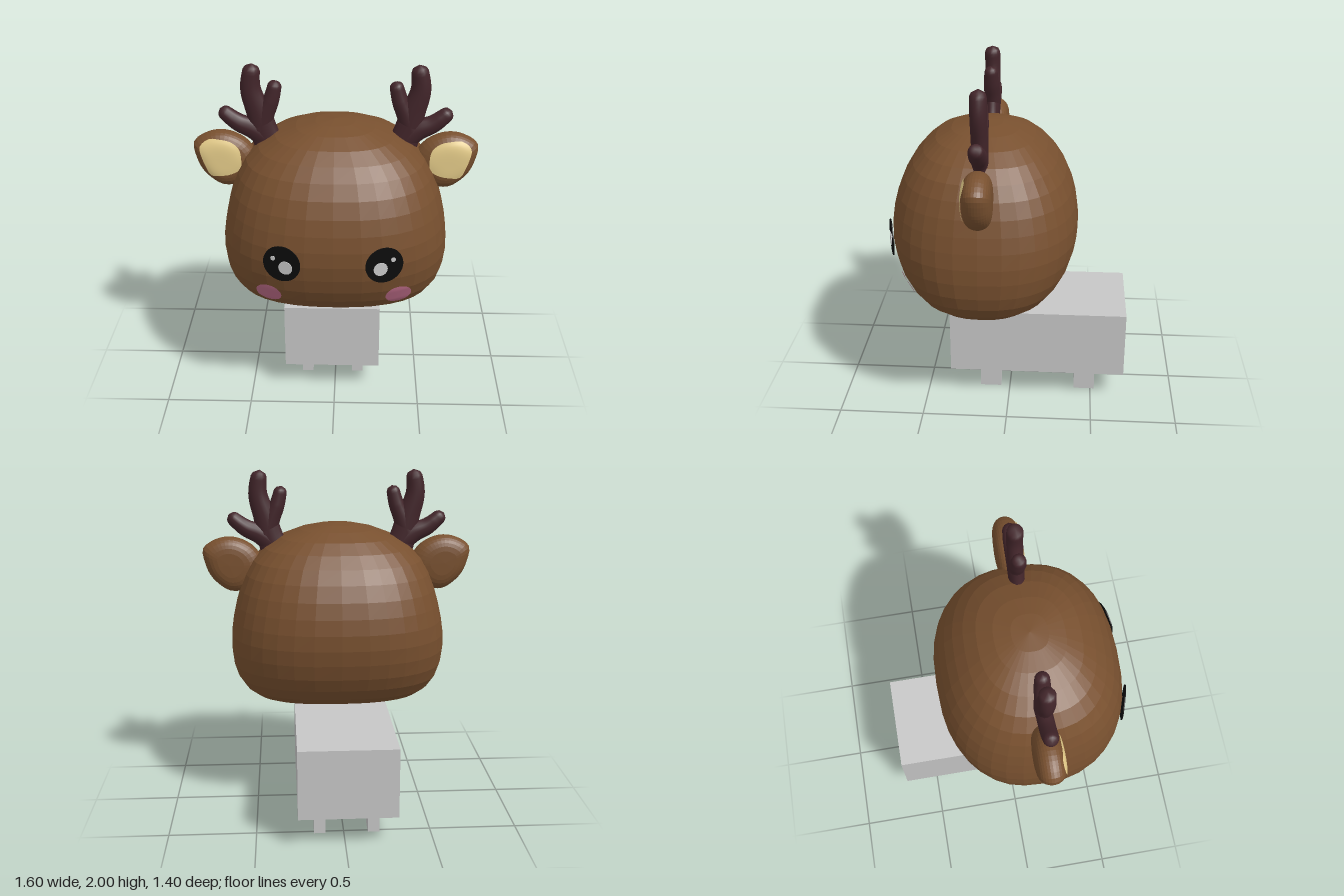
import * as THREE from 'three';
import { mergeVertices } from 'three/addons/utils/BufferGeometryUtils.js';

const mat = (name, color) => {
  const m = new THREE.MeshStandardMaterial({ color });
  m.name = name;
  return m;
};

// Surface from fn(u, v) -> [x, y, z]; s = -1 mirrors it across x and keeps it facing outwards
function grid(fn, nu, nv, s = 1) {
  const pos = [], idx = [];
  for (let i = 0; i <= nu; i++)
    for (let j = 0; j <= nv; j++) {
      const [x, y, z] = fn(i / nu, j / nv);
      pos.push(s * x, y, z);
    }
  for (let i = 0; i < nu; i++)
    for (let j = 0; j < nv; j++) {
      const a = i * (nv + 1) + j, b = a + nv + 1, c = a + 1, d = b + 1;
      if (s > 0) idx.push(a, b, c, c, b, d);
      else idx.push(a, c, b, c, d, b);
    }
  const g = new THREE.BufferGeometry();
  g.setAttribute('position', new THREE.Float32BufferAttribute(pos, 3));
  g.setIndex(idx);
  return g;
}
const faceted = (g) => {
  const f = g.toNonIndexed();
  f.computeVertexNormals();
  return f;
};
const smooth = (g) => {
  const f = mergeVertices(g, 1e-5);
  f.computeVertexNormals();
  return f;
};

// Head cross-sections: height, half width, half depth
const HEAD_Z = 0.147, POWER = 2.5;
const HEAD = [
  [0.58, 0.30, 0], [0.60, 0.38, 0.14], [0.625, 0.44, 0.23], [0.66, 0.50, 0.325],
  [0.71, 0.56, 0.40], [0.78, 0.605, 0.455], [0.86, 0.63, 0.497], [0.95, 0.64, 0.525],
  [1.04, 0.638, 0.54], [1.13, 0.625, 0.54], [1.22, 0.605, 0.527], [1.31, 0.58, 0.503],
  [1.40, 0.545, 0.465], [1.48, 0.50, 0.415], [1.55, 0.43, 0.355], [1.61, 0.335, 0.285],
  [1.655, 0.22, 0.195], [1.68, 0.11, 0.10], [1.69, 0, 0],
];
const sp = (c) => Math.sign(c) * Math.abs(c) ** (2 / POWER);
function headPoint(u, v) {
  const [y, w, d] = HEAD[Math.round(u * (HEAD.length - 1))];
  const a = v * Math.PI * 2;
  return [w * sp(Math.cos(a)), y, HEAD_Z + d * sp(Math.sin(a))];
}
// Depth of the face at a given x and y
function headFront(x, y) {
  const i = HEAD.findIndex((r) => r[0] > y), A = HEAD[i - 1], B = HEAD[i];
  const t = (y - A[0]) / (B[0] - A[0]);
  const w = A[1] + (B[1] - A[1]) * t, d = A[2] + (B[2] - A[2]) * t;
  return HEAD_Z + d * (1 - (Math.abs(x) / w) ** POWER) ** (1 / POWER);
}

// Closed outline from radii at equal angles
const polar = (radii) => new THREE.CatmullRomCurve3(radii.map((r, i) => {
  const a = (i / radii.length) * Math.PI * 2;
  return new THREE.Vector3(r * Math.cos(a), r * Math.sin(a), 0);
}), true);
const EAR = polar([0.145, 0.18, 0.166, 0.16, 0.163, 0.18, 0.2, 0.185, 0.182, 0.165, 0.14, 0.135]);
const EAR_INNER = polar([0.105, 0.132, 0.125, 0.108, 0.11, 0.117, 0.115, 0.125, 0.11, 0.105, 0.122, 0.1]);
const EAR_X = 0.64, EAR_Y = 1.45, EAR_Z = 0.14, EAR_T = 0.08;

function earPoint(u, v) {
  const p = EAR.getPoint(v % 1), f = u * Math.PI, r = Math.sqrt(Math.abs(Math.sin(f)));
  return [EAR_X + p.x * r, EAR_Y + p.y * r, EAR_Z + EAR_T * Math.cos(f)];
}
function earInnerPoint(u, v) {
  const p = EAR_INNER.getPoint(v % 1).multiplyScalar(u);
  const y = p.y + 0.02;
  const turn = (Math.atan2(y, p.x) / (Math.PI * 2) + 1) % 1;
  const r = Math.min(1, Math.hypot(p.x, y) / EAR.getPoint(turn).length());
  return [EAR_X + p.x, EAR_Y + y, EAR_Z + EAR_T * Math.sqrt(1 - r ** 4) + 0.006];
}

// Tapered branch with a rounded tip
function branch(points, r0, r1, s) {
  const seg = 28, sides = 14;
  const path = new THREE.CatmullRomCurve3(points.map(([x, y]) => new THREE.Vector3(s * x, y, 0.145)));
  const g = new THREE.TubeGeometry(path, seg, 1, sides);
  const p = g.attributes.position, cap = r1 / path.getLength();
  const c = new THREE.Vector3(), q = new THREE.Vector3();
  for (let k = 0; k < p.count; k++) {
    const t = Math.floor(k / (sides + 1)) / seg;
    path.getPointAt(t, c);
    const e = Math.max(0, (t - 1 + cap) / cap);
    const round = Math.sqrt(Math.max(0, 1 - e * e));
    const r = r0 + (r1 - r0) * t;
    q.fromBufferAttribute(p, k).sub(c).multiplyScalar(r * round);
    q.z *= Math.min(1, 0.046 / r);
    q.add(c);
    p.setXYZ(k, q.x, q.y, q.z);
  }
  g.deleteAttribute('uv');
  g.deleteAttribute('normal');
  return smooth(g);
}

export function createModel() {
  const brown = mat('brown fur', 0x78502f);
  const antlerBrown = mat('dark antler', 0x42252a);
  const cream = mat('cream', 0xe6cd8a);
  const black = mat('black', 0x0c0c0c);
  const pink = mat('pink', 0xbd6c88);
  const grey = mat('grey', 0xc6c6c6);

  const model = new THREE.Group();
  model.name = 'deer';
  const add = (parent, name, geo, material, x = 0, y = 0, z = 0) => {
    const m = new THREE.Mesh(geo, material);
    m.name = name;
    m.position.set(x, y, z);
    parent.add(m);
    return m;
  };

  // Body and legs
  add(model, 'body', new THREE.BoxGeometry(0.562, 0.405, 1.05), grey, -0.016, 0.3725, -0.17);
  for (const [x, side] of [[0.138, 'left'], [-0.172, 'right']])
    for (const [z, end] of [[0.118, 'Front'], [-0.461, 'Back']])
      add(model, side + end + 'Leg', new THREE.BoxGeometry(0.066, 0.17, 0.126), grey, x, 0.085, z);

  // Head
  add(model, 'head', faceted(grid(headPoint, HEAD.length - 1, 36)), brown);

  const disc = (r) => new THREE.CylinderGeometry(r, r, 0.006, 36).rotateX(Math.PI / 2);
  for (const [s, side] of [[1, 'left'], [-1, 'right']]) {
    // Ear with its pale inside
    add(model, side + 'Ear', faceted(grid(earPoint, 16, 36, s)), brown);
    add(model, side + 'InnerEar', smooth(grid(earInnerPoint, 8, 36, s)), cream);

    // Antler: stem and two tines
    const antler = new THREE.Group();
    antler.name = side + 'Antler';
    model.add(antler);
    add(antler, 'stem', branch([[0.35, 1.48], [0.395, 1.6], [0.425, 1.72], [0.465, 1.86], [0.452, 2.0]], 0.09, 0.045, s), antlerBrown);
    add(antler, 'innerTine', branch([[0.42, 1.62], [0.385, 1.72], [0.355, 1.79], [0.325, 1.905]], 0.06, 0.037, s), antlerBrown);
    add(antler, 'outerTine', branch([[0.38, 1.57], [0.46, 1.625], [0.54, 1.66], [0.64, 1.74]], 0.07, 0.038, s), antlerBrown);

    // Eye with two glints
    const eye = new THREE.Group();
    eye.name = side + 'Eye';
    eye.position.set(s * 0.275, 1.06, 0.672);
    eye.rotation.y = s * 0.28;
    model.add(eye);
    add(eye, 'pupil', disc(0.105), black);
    add(eye, 'largeGlint', disc(0.039), grey, s * -0.022, -0.02, 0.004);
    add(eye, 'smallGlint', disc(0.013), grey, s * 0.048, 0.03, 0.004);

    // Cheek blush following the face
    const cheek = (u, v) => {
      const a = v * Math.PI * 2;
      const x = 0.36 + 0.072 * u * Math.cos(a), y = 0.82 + 0.068 * u * Math.sin(a);
      return [x, y, headFront(x, y) + 0.009];
    };
    add(model, side + 'Cheek', smooth(grid(cheek, 6, 28, s)), pink);
  }
  return model;
}
